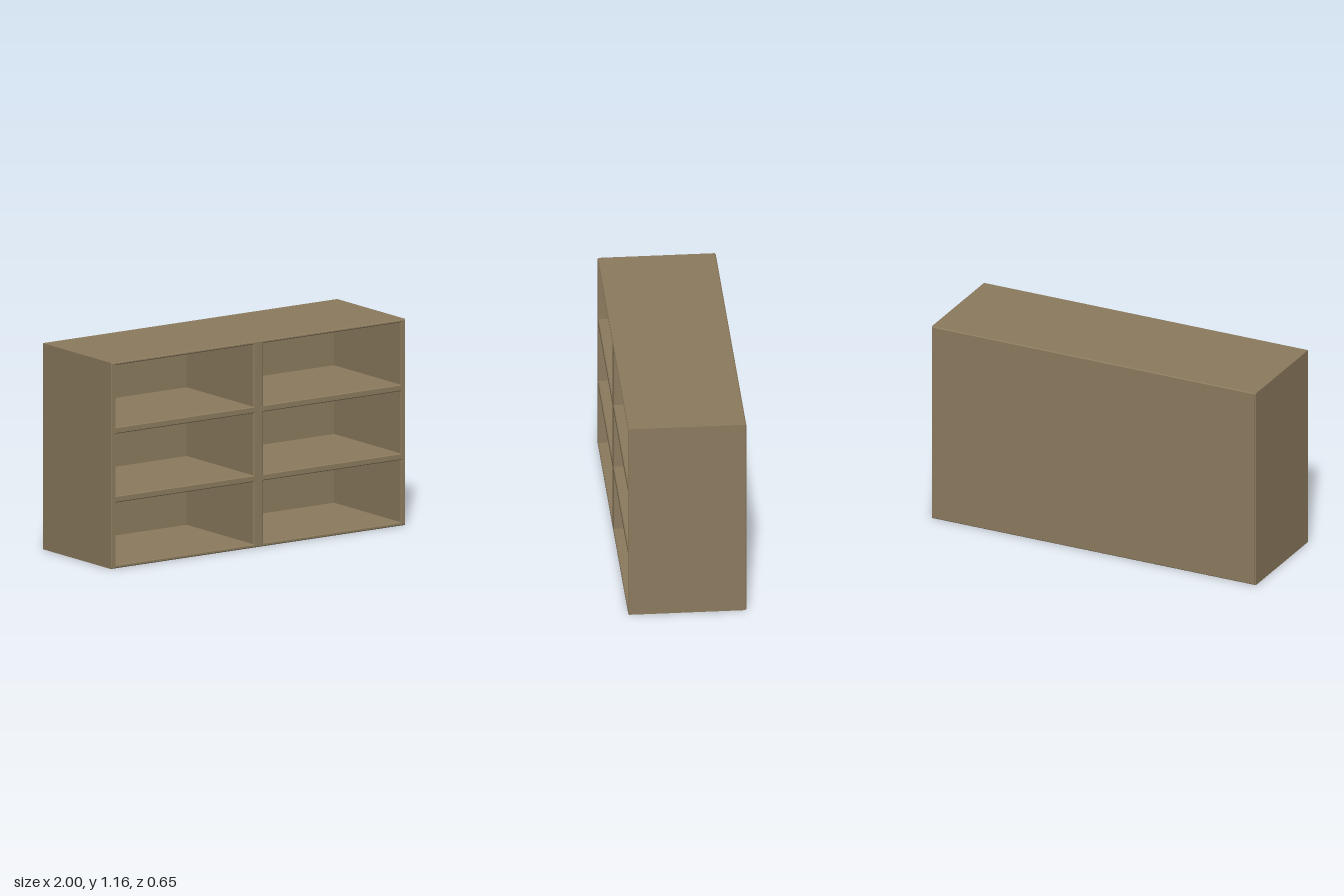
import * as THREE from 'three';

const W = 2, H = 1.163, D = 0.654, BEVEL = 0.005, BACK = 0.02;

// Adds a rectangle outline to a shape or path
function rect(path, x0, y0, x1, y1) {
  path.moveTo(x0, y0);
  path.lineTo(x1, y0);
  path.lineTo(x1, y1);
  path.lineTo(x0, y1);
  path.closePath();
  return path;
}

export function createModel() {
  const group = new THREE.Group();
  group.name = 'cubbyShelf';
  const wood = new THREE.MeshStandardMaterial({ color: 0x8b7a5e });
  wood.name = 'brown wood';

  // Frame: sides, shelves and divider around six openings, edges slightly bevelled
  const outline = rect(new THREE.Shape(), -W / 2, 0, W / 2, H);
  for (const [y0, y1] of [[0.02, 0.371], [0.408, 0.759], [0.796, 1.147]]) {
    for (const [x0, x1] of [[-0.967, -0.033], [0.033, 0.967]]) {
      outline.holes.push(rect(new THREE.Path(), x0, y0, x1, y1));
    }
  }
  const frameGeometry = new THREE.ExtrudeGeometry(outline, {
    depth: D - 2 * BEVEL,
    bevelSize: BEVEL,
    bevelThickness: BEVEL,
    bevelOffset: -BEVEL,
    bevelSegments: 1,
  });
  frameGeometry.translate(0, 0, -D / 2 + BEVEL);
  const frame = new THREE.Mesh(frameGeometry, wood);
  frame.name = 'shelfFrame';

  // Back panel closing the openings
  const back = new THREE.Mesh(
    new THREE.BoxGeometry(W - 2 * BEVEL, H - 2 * BEVEL, BACK), wood);
  back.name = 'backPanel';
  back.position.set(0, H / 2, -D / 2 + BACK / 2 - 0.0005);

  group.add(frame, back);
  return group;
}
